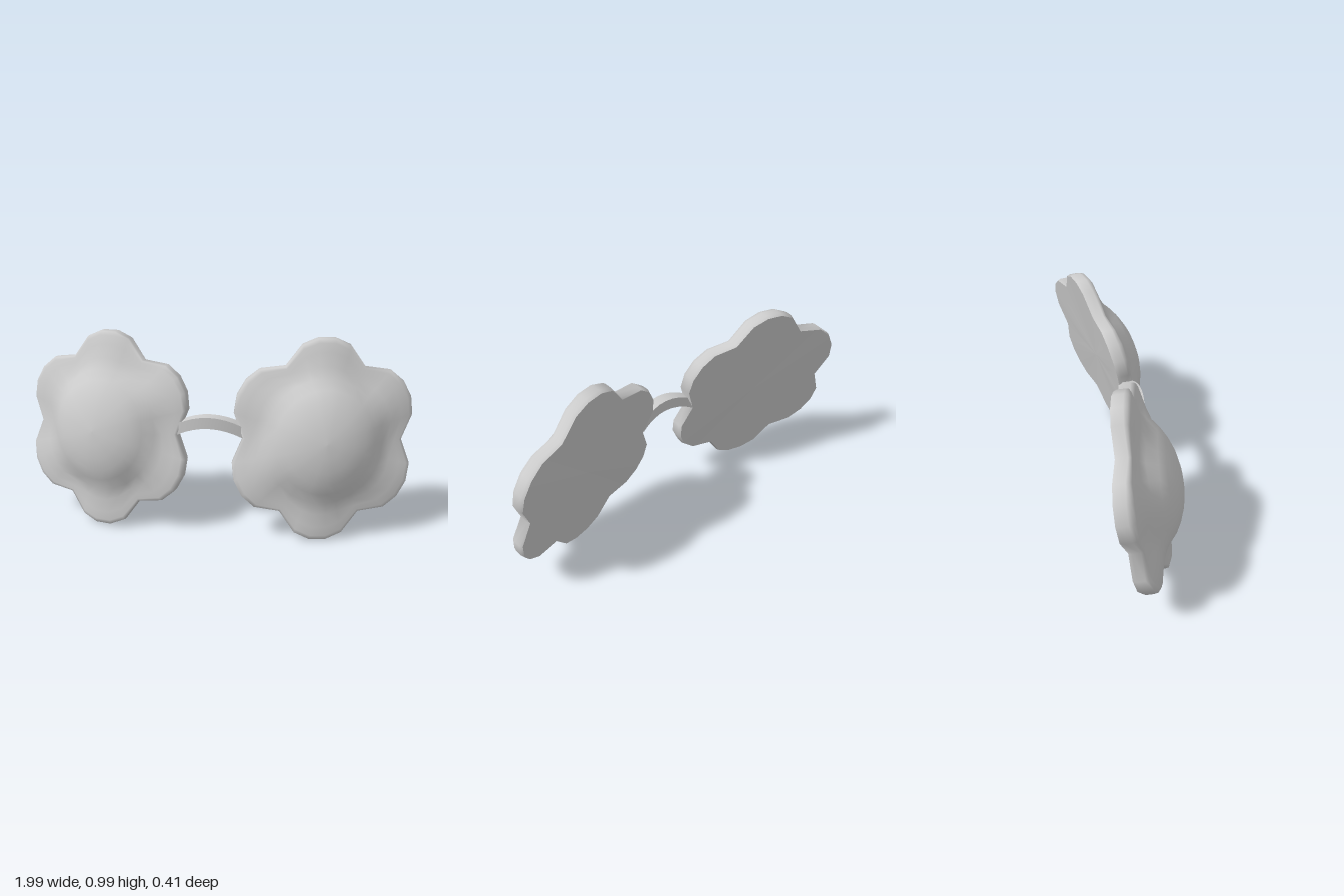
import * as THREE from 'three';

const PETALS = 6;
// Petal outline: [angle from petal axis in degrees, radius]
const PETAL = [[-30, 0.407], [-15, 0.474], [-5, 0.4925], [5, 0.4925], [15, 0.474]];
const OUTLINE = [];
for (let p = 0; p < PETALS; p++) {
  for (const [deg, r] of PETAL) {
    OUTLINE.push({
      a: THREE.MathUtils.degToRad(90 + p * 60 + deg),
      r,
      crest: Math.cos(THREE.MathUtils.degToRad(deg * 6)) * 0.5 + 0.5,
    });
  }
}
const N = OUTLINE.length;

// Maps flat flower coordinates plus a height to the tilted, slightly wrapped lens
function place(a, r, h, side) {
  const u = Math.cos(a) * r * 0.96, v = Math.sin(a) * r;
  const lean = h > 0 ? 0.2 * h : 0.08 * h;
  return [
    side * (0.558 + u + lean),
    0.504 + v - 0.025 * u + lean,
    0.04 - 0.23 * u - 0.23 * v - 0.15 * u * u + h,
  ];
}

// Skins a list of rings; each ring is a function of an outline point giving [radius, height]
function skin(name, rings, side, material) {
  const pos = [], idx = [];
  for (const ring of rings) {
    for (const o of OUTLINE) {
      const [r, h] = ring(o);
      pos.push(...place(o.a, r, h, side));
    }
  }
  const tri = (a, b, c) => (side > 0 ? idx.push(a, b, c) : idx.push(a, c, b));
  for (let k = 0; k < rings.length - 1; k++) {
    for (let i = 0; i < N; i++) {
      const j = (i + 1) % N, a = k * N + i, b = k * N + j;
      tri(a, a + N, b + N);
      tri(a, b + N, b);
    }
  }
  const geo = new THREE.BufferGeometry();
  geo.setAttribute('position', new THREE.Float32BufferAttribute(pos, 3));
  geo.setIndex(idx);
  geo.computeVertexNormals();
  const mesh = new THREE.Mesh(geo, material);
  mesh.name = name;
  return mesh;
}

function createLens(side, material) {
  const lens = new THREE.Group();
  lens.name = side > 0 ? 'leftLens' : 'rightLens';

  // Domed centre, petals, then a rounded rim in one smooth skin
  const dome = [[0, 0.137], [0.07, 0.134], [0.14, 0.121], [0.2, 0.1], [0.25, 0.074]];
  const front = dome.map(([r, h]) => () => [r, h]);
  front.push((o) => [0.3, 0.03 + 0.012 * o.crest]);
  // [way from dome to rim, height in the valleys, extra height on the crests]
  for (const [t, valley, puff] of [[0.3, 0.01, 0.017], [0.65, 0, 0.016], [0.88, -0.004, 0.013], [0.98, -0.008, 0.008]]) {
    front.push((o) => [THREE.MathUtils.lerp(0.3, o.r, t), valley + puff * o.crest]);
  }
  front.push((o) => [o.r, -0.018], (o) => [o.r, -0.055], (o) => [o.r * 0.985, -0.073]);
  lens.add(skin('lensFront', front, side, material));

  // Plain back
  lens.add(skin('lensBack', [(o) => [o.r * 0.985, -0.073], () => [0, -0.073]], side, material));
  return lens;
}

// Arched bar between the lenses, bowed up and forward
function createBridge(material) {
  const geo = new THREE.BoxGeometry(0.335, 0.058, 0.062, 8, 1, 1);
  const p = geo.attributes.position;
  for (let i = 0; i < p.count; i++) {
    const t = p.getX(i) / 0.1675;
    p.setY(i, p.getY(i) + 0.587 - 0.048 * t * t);
    p.setZ(i, p.getZ(i) + 0.083 - 0.022 * t * t);
  }
  geo.computeVertexNormals();
  const mesh = new THREE.Mesh(geo, material);
  mesh.name = 'bridge';
  return mesh;
}

export function createModel() {
  const model = new THREE.Group();
  model.name = 'flowerGlasses';
  const material = new THREE.MeshStandardMaterial({ color: 0xcccccc });
  for (const side of [1, -1]) model.add(createLens(side, material));
  model.add(createBridge(material));
  return model;
}
